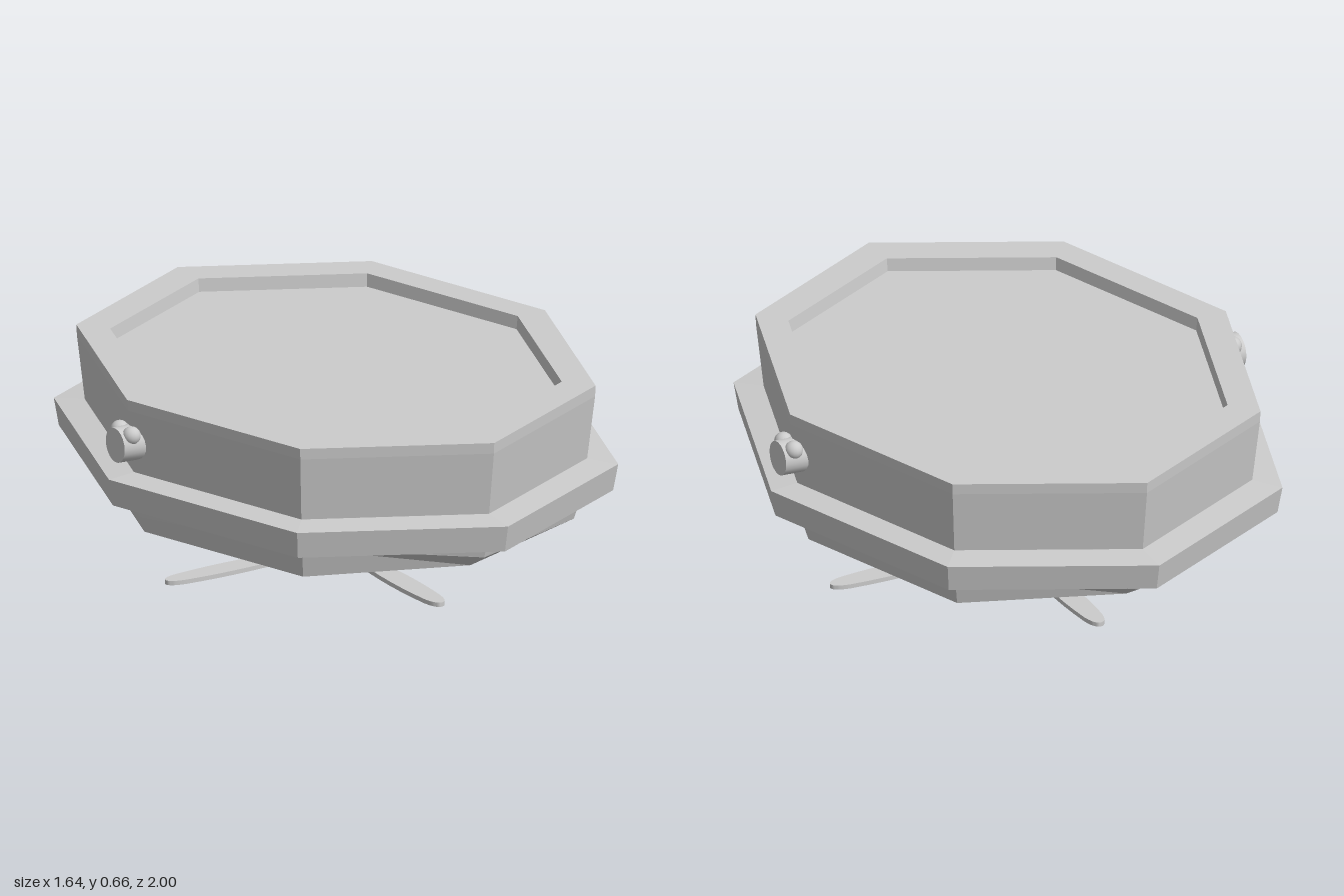
import * as THREE from 'three';
import { toCreasedNormals } from 'three/addons/utils/BufferGeometryUtils.js';

const flat = new THREE.MeshStandardMaterial({ color: 0xcccccc, flatShading: true });
const smooth = new THREE.MeshStandardMaterial({ color: 0xcccccc });
const WIDTH = 0.82; // x to z ratio of the octagon

function add(parent, name, geometry, material = flat) {
  const mesh = new THREE.Mesh(geometry, material);
  mesh.name = name;
  parent.add(mesh);
  return mesh;
}

// Eight-sided ring stack from [radius, y] pairs; tweak(ring, side, point) may move corners.
function octagon(profile, tweak) {
  const g = new THREE.LatheGeometry(profile.map(([r, y]) => new THREE.Vector2(r, y)), 8);
  const p = g.attributes.position;
  const v = new THREE.Vector3();
  for (let i = 0; i < p.count; i++) {
    v.fromBufferAttribute(p, i);
    if (tweak) tweak(i % profile.length, Math.floor(i / profile.length) % 8, v);
    p.setXYZ(i, v.x * WIDTH, v.y, v.z);
  }
  g.computeVertexNormals();
  return g;
}

export function createModel() {
  const model = new THREE.Group();
  model.name = 'octagonalTank';

  // Upper body with a shallow recessed lid
  add(model, 'upperBody', octagon([
    [0.89, 0.40], [0.89, 0.42], [0.918, 0.625], [0.92, 0.66],
    [0.80, 0.66], [0.795, 0.618], [0, 0.618],
  ]));

  // Protruding rim
  add(model, 'rim', octagon([[0.84, 0.325], [0.982, 0.325], [1, 0.412], [0.87, 0.421]]));

  // Lower hull: front and back corners are cut by a sloping bevel
  add(model, 'lowerHull', octagon(
    [[0, 0.18], [0.56, 0.18], [0.843, 0.217], [0.862, 0.268], [0.88, 0.33]],
    (ring, side, v) => {
      const scale = (s) => { v.x *= s; v.z *= s; };
      const tip = side % 4 === 0;
      if (ring === 1 && tip) scale(0.5 / 0.56);
      if (ring === 2 && tip) scale(0.78 / 0.843);
      if (ring === 3 && side % 2 === 1) { scale(0.878 / 0.862); v.y = 0.32; }
    },
  ));

  // Side knobs, each with a pair of small balls
  for (const s of [1, -1]) {
    const knob = new THREE.Group();
    knob.name = s > 0 ? 'leftKnob' : 'rightKnob';
    const barrel = new THREE.CylinderGeometry(0.055, 0.058, 0.09, 20);
    barrel.rotateZ(-s * Math.PI / 2);
    add(knob, 'barrel', toCreasedNormals(barrel, 0.6), smooth).position.x = s * 0.752;
    for (const z of [-0.034, 0.034]) {
      add(knob, 'ball', new THREE.SphereGeometry(0.029, 16, 12), smooth)
        .position.set(s * 0.76, 0.555, z);
    }
    knob.position.y = 0;
    knob.children[0].position.y = 0.52;
    model.add(knob);
  }

  // Propeller: shaft, hub and four blades
  const propeller = new THREE.Group();
  propeller.name = 'propeller';
  const shaft = new THREE.CylinderGeometry(0.023, 0.023, 0.16, 12);
  add(propeller, 'shaft', toCreasedNormals(shaft, 0.7), smooth).position.y = 0.11;
  const hub = new THREE.LatheGeometry(
    [[0, 0], [0.016, 0], [0.024, 0.022], [0.026, 0.04], [0.022, 0.05]]
      .map(([r, y]) => new THREE.Vector2(r, y)), 12);
  add(propeller, 'hub', toCreasedNormals(hub, 0.7), smooth);

  const outline = new THREE.Shape();
  outline.moveTo(0.01, -0.012);
  outline.lineTo(0.1, -0.014);
  outline.bezierCurveTo(0.22, -0.036, 0.4, -0.046, 0.56, -0.03);
  outline.quadraticCurveTo(0.615, -0.022, 0.615, 0);
  outline.quadraticCurveTo(0.615, 0.022, 0.56, 0.03);
  outline.bezierCurveTo(0.4, 0.046, 0.22, 0.036, 0.1, 0.014);
  outline.lineTo(0.01, 0.012);
  const blade = new THREE.ExtrudeGeometry(outline, { depth: 0.014, bevelEnabled: false, curveSegments: 8 });
  blade.rotateX(-Math.PI / 2);
  const bladeGeometry = toCreasedNormals(blade, 0.7);
  for (let i = 0; i < 4; i++) {
    const mesh = add(propeller, 'blade', bladeGeometry, smooth);
    mesh.position.y = 0.03;
    mesh.rotation.y = i * Math.PI / 2;
  }
  model.add(propeller);

  return model;
}
